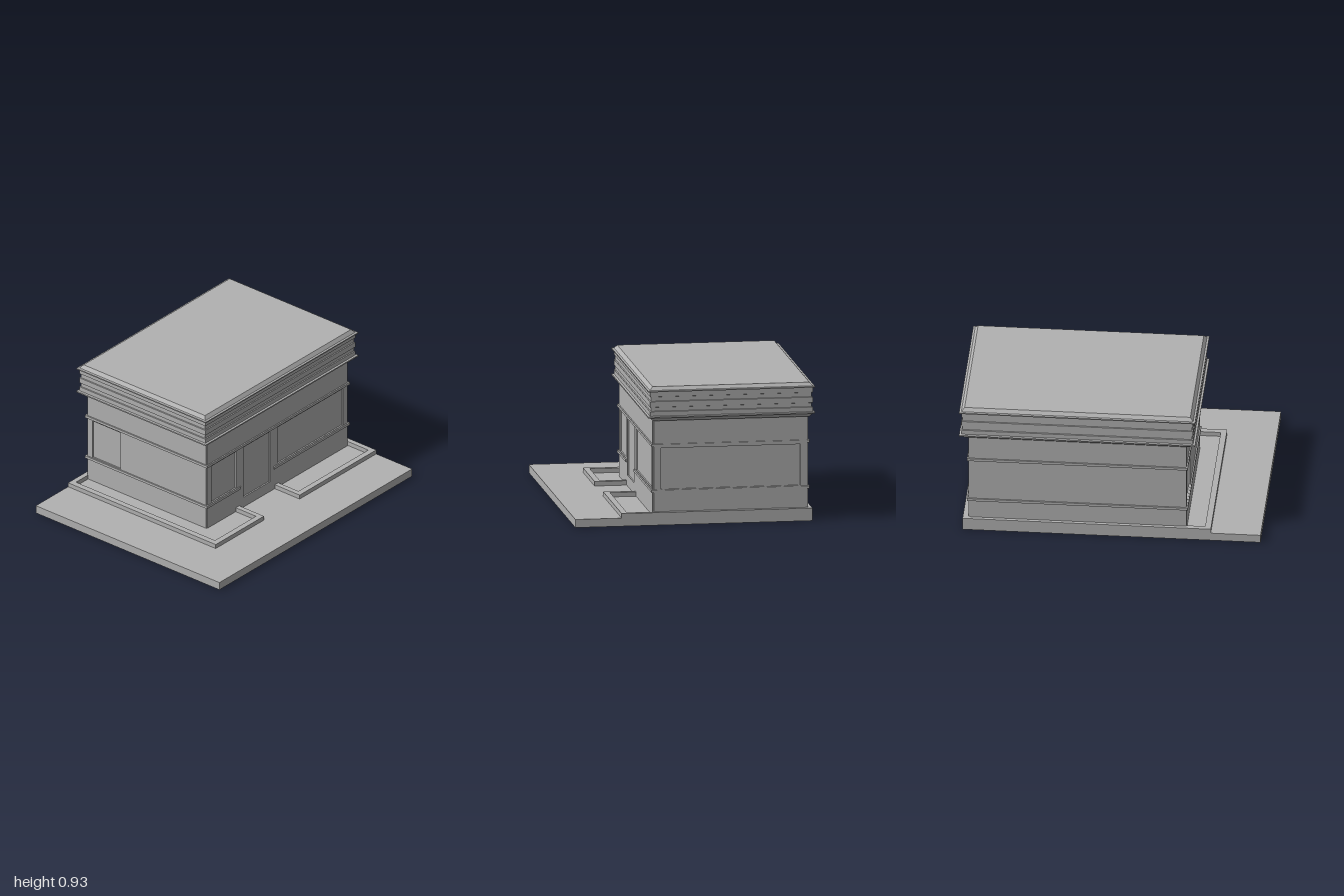
import * as THREE from 'three';

const stone = new THREE.MeshStandardMaterial({ color: 0xb2b2b2, side: THREE.DoubleSide });
stone.name = 'grey stone';

// Walls: outer planes and the depth of the recesses
const X0 = -0.507, X1 = 0.938, Z0 = -0.761, Z1 = 0.276, D = 0.01;
const GROUND = 0.055, CURB = 0.085, WALL_TOP = 0.71;

// Rectangle as [x, z] points, counter-clockwise seen from above
const rect = (x0, x1, z0, z1) => [[x0, z1], [x1, z1], [x1, z0], [x0, z0]];

// Faceted surface through stacked outlines: rings = [{ y, pts }]
function loft(rings) {
  const v = [];
  for (let r = 0; r + 1 < rings.length; r++) {
    const lo = rings[r], hi = rings[r + 1], n = lo.pts.length;
    for (let i = 0; i < n; i++) {
      const j = (i + 1) % n;
      const at = (ring, k) => [ring.pts[k][0], ring.y, ring.pts[k][1]];
      const a = at(lo, i), b = at(lo, j), c = at(hi, j), d = at(hi, i);
      v.push(...a, ...b, ...c, ...a, ...c, ...d);
    }
  }
  const g = new THREE.BufferGeometry();
  g.setAttribute('position', new THREE.Float32BufferAttribute(v, 3));
  g.computeVertexNormals();
  return g;
}

// Horizontal face filling an outline
function flat(pts, y) {
  const shape = new THREE.Shape(pts.map(([x, z]) => new THREE.Vector2(x, -z)));
  return new THREE.ShapeGeometry(shape).rotateX(-Math.PI / 2).translate(0, y, 0);
}

export function createModel() {
  const model = new THREE.Group();
  model.name = 'building';
  const add = (name, geometry, parent = model) => {
    const mesh = new THREE.Mesh(geometry, stone);
    mesh.name = name;
    parent.add(mesh);
    return mesh;
  };
  const box = (name, x0, x1, y0, y1, z0, z1) =>
    add(name, new THREE.BoxGeometry(x1 - x0, y1 - y0, z1 - z0)
      .translate((x0 + x1) / 2, (y0 + y1) / 2, (z0 + z1) / 2));

  // Paved base, open underneath, with hollow raised curbs
  const base = rect(-1, 0.975, -0.785, 0.8);
  add('baseSides', loft([{ y: 0, pts: base }, { y: GROUND, pts: base }]));
  add('pavement', flat([
    [-1, 0.8], [0.975, 0.8], [0.975, 0.49], [0.19, 0.49], [0.19, 0.275],
    [-0.175, 0.275], [-0.175, 0.49], [-0.67, 0.49], [-0.67, -0.785], [-1, -0.785],
  ], GROUND));
  add('planterGround', flat([
    [-0.63, 0.45], [-0.21, 0.45], [-0.21, 0.275], [0.225, 0.275], [0.225, 0.45],
    [0.94, 0.45], [0.94, -0.75], [-0.63, -0.75],
  ], GROUND));
  const curb = [
    [-0.21, 0.275], [-0.21, 0.45], [-0.63, 0.45], [-0.63, -0.75], [0.94, -0.75],
    [0.94, 0.45], [0.225, 0.45], [0.225, 0.275], [0.19, 0.275], [0.19, 0.49],
    [0.975, 0.49], [0.975, -0.785], [-0.67, -0.785], [-0.67, 0.49],
    [-0.175, 0.49], [-0.175, 0.275],
  ];
  add('curbSides', loft([{ y: GROUND, pts: curb }, { y: CURB, pts: curb }]));
  add('curbTop', flat(curb, CURB));

  // Core whose faces form the backs of the recesses
  box('wallCore', X0 + D, X1 - D, GROUND + 0.001, WALL_TOP, Z0 + D, Z1 - D);

  // Wall panels with openings [u0, u1, y0, y1]
  function wall(name, u0, u1, angle, px, pz, openings) {
    const outline = (a, b, c, d) => [[a, c], [b, c], [b, d], [a, d]]
      .map(([x, y]) => new THREE.Vector2(x, y));
    const shape = new THREE.Shape(outline(u0, u1, GROUND + 0.001, WALL_TOP));
    for (const o of openings) shape.holes.push(new THREE.Path(outline(...o).reverse()));
    const mesh = add(name, new THREE.ExtrudeGeometry(shape, { depth: D, bevelEnabled: false }));
    mesh.rotation.y = angle;
    mesh.position.set(px, 0, pz);
  }
  const h = 0.006; // small notch at the corners
  wall('frontWall', X0 + h, X1 - h, 0, 0, Z1 - D, [
    [-0.46, -0.205, 0.234, 0.51], [-0.13, 0.14, 0.13, 0.51], [0.22, 0.89, 0.234, 0.51],
  ]);
  wall('rightWall', -Z1 + h, -Z0 - h, Math.PI / 2, X1 - D, 0, [[-0.22, 0.71, 0.234, 0.51]]);
  wall('leftWall', Z0 + h, Z1 - h, -Math.PI / 2, X0 + D, 0, [[-0.71, -0.47, 0.234, 0.51]]);
  wall('backWall', -X1 + h, -X0 - h, Math.PI, 0, Z0 + D, []);

  // String courses; the lower one stops at the entrance
  const p = 0.009;
  for (const [label, y0, y1] of [['lower', 0.212, 0.23], ['upper', 0.52, 0.538]]) {
    box(label + 'BandBack', X0 - p, X1 + p, y0, y1, Z0 - p, Z0 + 0.004);
    box(label + 'BandLeft', X0 - p, X0 + 0.004, y0, y1, Z0, Z1);
    box(label + 'BandRight', X1 - 0.004, X1 + p, y0, y1, Z0, Z1);
    const spans = label === 'lower' ? [[X0 - p, -0.165], [0.175, X1 + p]] : [[X0 - p, X1 + p]];
    for (const [a, b] of spans) box(label + 'BandFront', a, b, y0, y1, Z1 - 0.004, Z1 + p);
  }

  // Stepped cornice: [inset from the widest lip, height]
  const profile = [
    [0.042, 0.698], [0.034, 0.7], [0.014, 0.722], [0, 0.724], [0, 0.733], [0.014, 0.735],
    [0.014, 0.765], [0.021, 0.767], [0.021, 0.793], [0.014, 0.795], [0.014, 0.832],
    [0.021, 0.834], [0.021, 0.863], [0.014, 0.865], [0.014, 0.896], [0, 0.898],
    [0, 0.906], [0.014, 0.908], [0.034, 0.93],
  ];
  const rings = profile.map(([i, y]) => ({ y, pts: rect(-0.567 + i, 0.997 - i, -0.8 + i, 0.316 - i) }));
  add('cornice', loft(rings));
  add('corniceSoffit', flat(rings[0].pts, rings[0].y));
  add('roof', flat(rings[rings.length - 1].pts, 0.93));

  return model;
}
